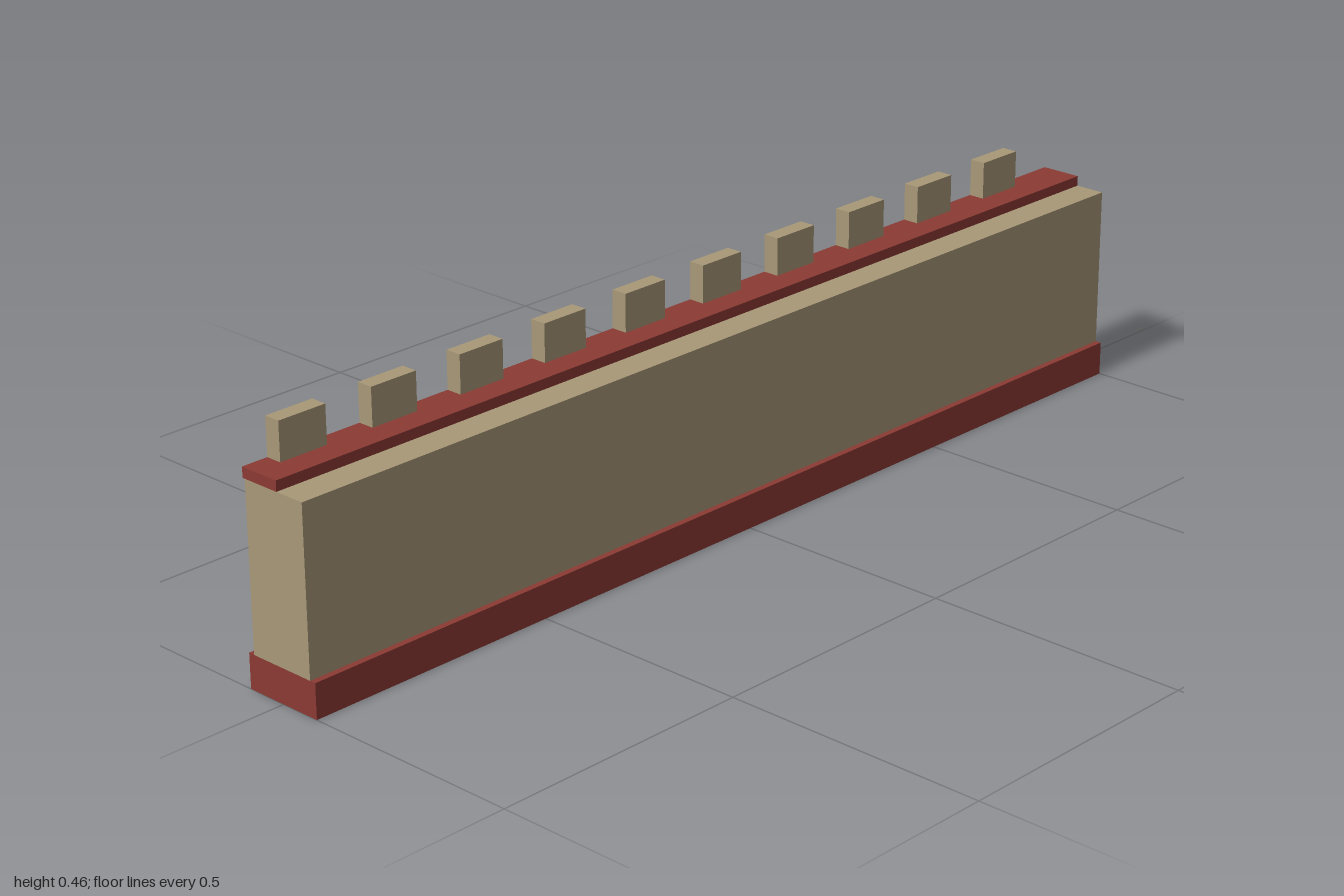
import * as THREE from 'three';

export function createModel() {
  const stone = new THREE.MeshStandardMaterial({ color: 0xa89878 });
  stone.name = 'sandstone';
  const brick = new THREE.MeshStandardMaterial({ color: 0x8c3a34 });
  brick.name = 'red brick';

  const wall = new THREE.Group();
  wall.name = 'battlementWall';

  // Box given by its extents along each axis
  function block(name, material, [x0, x1], [y0, y1], [z0, z1], parent = wall) {
    const mesh = new THREE.Mesh(new THREE.BoxGeometry(x1 - x0, y1 - y0, z1 - z0), material);
    mesh.position.set((x0 + x1) / 2, (y0 + y1) / 2, (z0 + z1) / 2);
    mesh.name = name;
    parent.add(mesh);
  }

  // Plinth, wall body and the coping that overhangs the back edge
  block('plinth', brick, [-1, 1], [0, 0.064], [-0.079, 0.079]);
  block('wallBody', stone, [-1, 1], [0.064, 0.367], [-0.067, 0.067]);
  block('coping', brick, [-1, 1], [0.367, 0.386], [-0.072, 0.008]);

  // Row of merlons along the back of the coping
  const merlons = new THREE.Group();
  merlons.name = 'merlons';
  wall.add(merlons);
  for (let i = 0; i < 10; i++) {
    const x = -0.901 + i * 0.1914;
    block(`merlon${i + 1}`, stone, [x - 0.048, x + 0.048], [0.386, 0.456], [-0.072, -0.041], merlons);
  }

  return wall;
}
